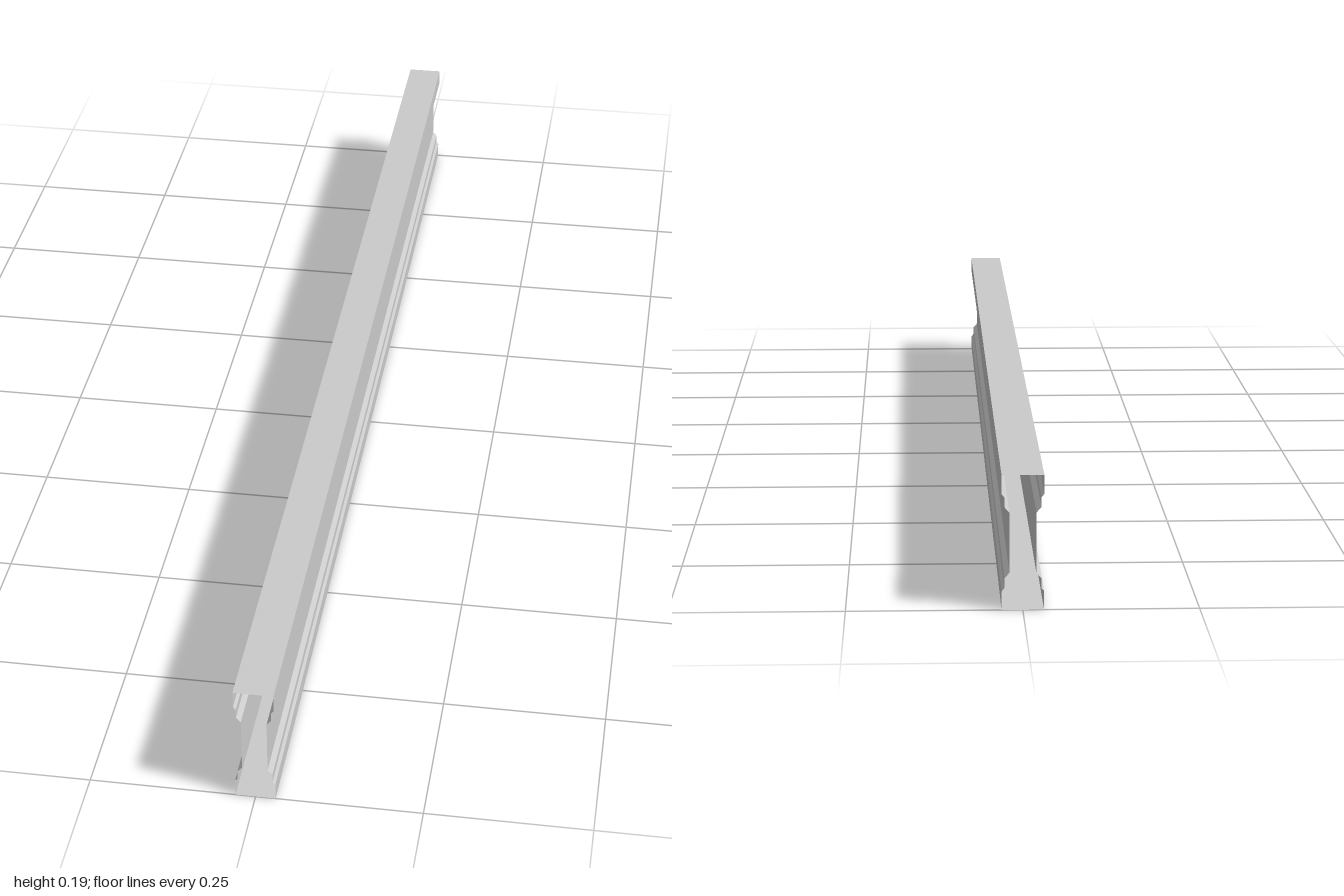
import * as THREE from 'three';

const HEIGHT = 0.195, LENGTH = 2;

// Upper right quarter of the cross-section: flange, small step, deep step to the web
const quarter = [[0.03, 0.195], [0.03, 0.168], [0.026, 0.163], [0.026, 0.149], [0.019, 0.141]];

// Sheet-metal strips swept along z between consecutive profile points, open at both ends
function sweep(profile, length) {
  const positions = [];
  const h = length / 2;
  profile.forEach(([x0, y0], i) => {
    const [x1, y1] = profile[(i + 1) % profile.length];
    positions.push(
      x0, y0, h, x0, y0, -h, x1, y1, -h,
      x0, y0, h, x1, y1, -h, x1, y1, h
    );
  });
  const geometry = new THREE.BufferGeometry();
  geometry.setAttribute('position', new THREE.Float32BufferAttribute(positions, 3));
  geometry.computeVertexNormals();
  return geometry;
}

export function createModel() {
  const group = new THREE.Group();
  group.name = 'hollowBeam';

  // Mirror the quarter vertically, then sideways, into a counter-clockwise loop
  const lower = quarter.map(([x, y]) => [x, HEIGHT - y]);
  const right = [...lower, ...quarter.slice().reverse()];
  const left = right.map(([x, y]) => [-x, y]).reverse();

  const material = new THREE.MeshStandardMaterial({
    color: 0xcccccc, flatShading: true, side: THREE.DoubleSide
  });
  const shell = new THREE.Mesh(sweep([...right, ...left], LENGTH), material);
  shell.name = 'beamShell';
  group.add(shell);
  return group;
}
